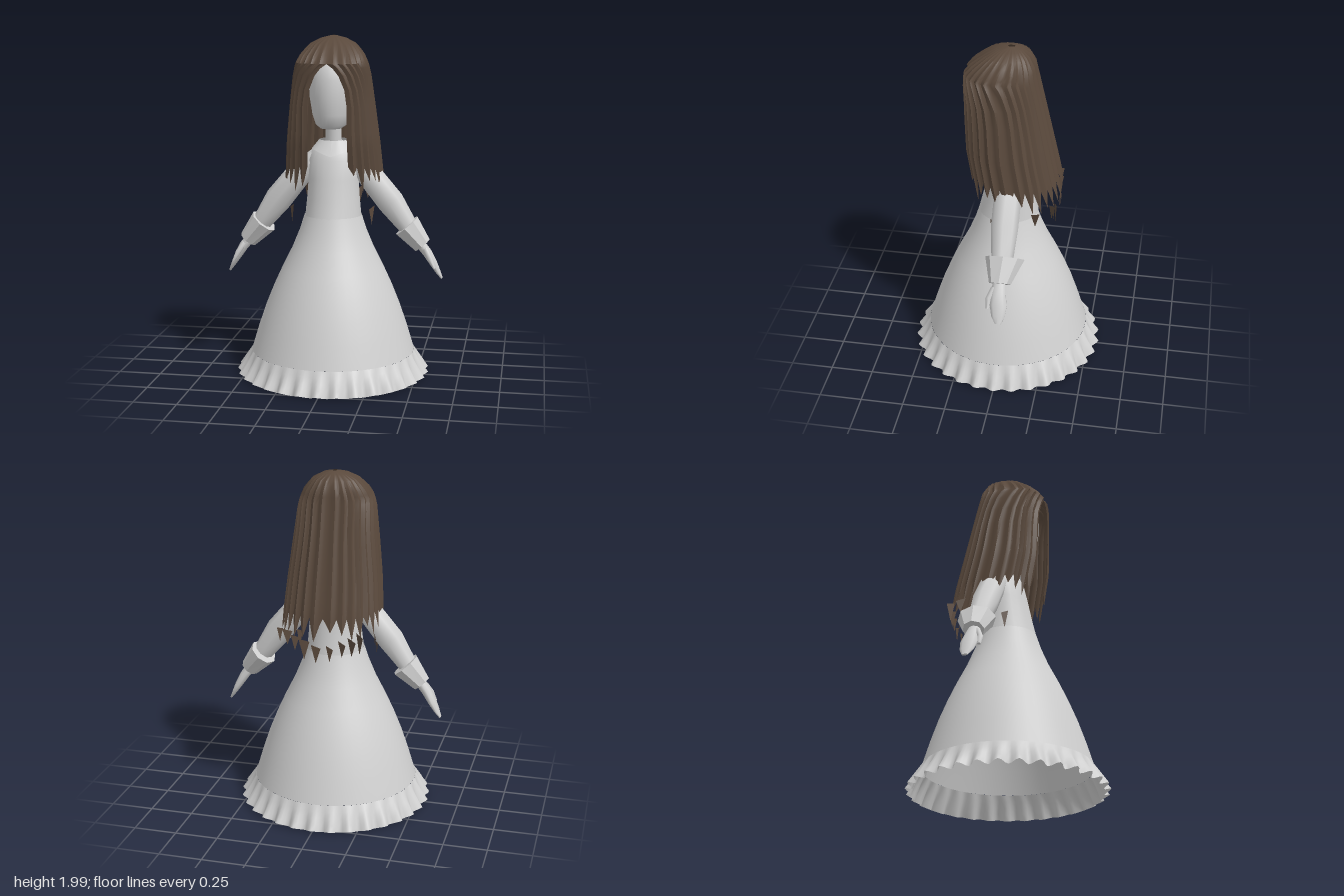
import * as THREE from 'three';
import { toCreasedNormals } from 'three/addons/utils/BufferGeometryUtils.js';

const cloth = new THREE.MeshStandardMaterial({ color: 0xd0d0d0, side: THREE.DoubleSide });
cloth.name = 'pale grey';
const brown = new THREE.MeshStandardMaterial({ color: 0x5a493c, side: THREE.DoubleSide });
brown.name = 'dark brown';

let seed = 7;
const rand = () => (seed = (seed * 16807) % 2147483647) / 2147483647;

// Linear lookup in rows whose first number falls from row to row
function sample(rows, y) {
  let i = 0;
  while (i < rows.length - 2 && y < rows[i + 1][0]) i++;
  const a = rows[i], b = rows[i + 1];
  const t = THREE.MathUtils.clamp((a[0] - y) / (a[0] - b[0]), 0, 1);
  return a.map((v, k) => v + (b[k] - v) * t);
}

function geometry(points, index, crease) {
  const g = new THREE.BufferGeometry();
  g.setAttribute('position', new THREE.Float32BufferAttribute(points, 3));
  g.setIndex(index);
  g.computeVertexNormals();
  return toCreasedNormals(g, crease);
}

// Closed body through rings [x, y, z, radius in the xy plane, radius along z]
function loft(rings, sides, crease = 1) {
  const pts = [], idx = [], n = rings.length;
  rings.forEach(([x, y, z, a, b], i) => {
    const p = rings[Math.max(i - 1, 0)], q = rings[Math.min(i + 1, n - 1)];
    const len = Math.hypot(q[0] - p[0], q[1] - p[1]);
    const nx = (q[1] - p[1]) / len, ny = -(q[0] - p[0]) / len;
    for (let j = 0; j < sides; j++) {
      const t = (j / sides) * Math.PI * 2, c = a * Math.cos(t);
      pts.push(x + nx * c, y + ny * c, z + b * Math.sin(t));
    }
  });
  const end = n * sides;
  pts.push(...rings[0].slice(0, 3), ...rings[n - 1].slice(0, 3));
  for (let j = 0; j < sides; j++) {
    const k = (j + 1) % sides, last = (n - 1) * sides;
    for (let i = 0; i < n - 1; i++) {
      const a = i * sides + j, b = i * sides + k;
      idx.push(a, a + sides, b, b, a + sides, b + sides);
    }
    idx.push(end, j, k, end + 1, last + k, last + j);
  }
  return geometry(pts, idx, crease);
}

// Ruffle: a flared band whose pleats deepen towards the hem
function ruffleGeometry() {
  const pleats = 32, cols = pleats * 6, rows = 4, pts = [], idx = [];
  for (let i = 0; i <= rows; i++) {
    for (let j = 0; j <= cols; j++) {
      const v = i / rows, t = (j / cols) * Math.PI * 2;
      const wave = Math.cos(t * pleats);
      const r = 0.482 + 0.068 * v + 0.02 * wave * v;
      pts.push(r * Math.sin(t), 0.147 - 0.135 * v + 0.009 * wave * v, r * Math.cos(t));
      if (i < rows && j < cols) {
        const a = i * (cols + 1) + j, b = a + cols + 1;
        idx.push(a, b, a + 1, b, b + 1, a + 1);
      }
    }
  }
  return geometry(pts, idx, 1.2);
}

// Hair outline: [y, half width, front z, back z]
const hairShape = [
  [1.995, 0.012, 0.0, -0.04], [1.98, 0.07, 0.06, -0.08], [1.95, 0.125, 0.115, -0.115],
  [1.9, 0.165, 0.18, -0.14], [1.85, 0.19, 0.228, -0.15], [1.8, 0.207, 0.235, -0.16],
  [1.6, 0.232, 0.235, -0.205], [1.4, 0.255, 0.225, -0.25], [1.2, 0.272, 0.19, -0.295], [1.0, 0.28, 0.15, -0.32],
];
// Half width of the opening around the face
const faceGap = [[1.845, 0], [1.82, 0.035], [1.78, 0.067], [1.7, 0.1], [1.6, 0.113], [1.45, 0.112], [1.1, 0.12]];

function hairPoint(u, y, lift = 0) {
  const [, w, zf, zb] = sample(hairShape, y);
  const gap = sample(faceGap, y)[1];
  const start = Math.asin(Math.min(1, Math.pow(gap / w, 1 / 0.8)));
  const t = start + u * (Math.PI * 2 - 2 * start);
  const bend = (v) => Math.sign(v) * Math.pow(Math.abs(v), 0.8);
  const half = (zf - zb) / 2;
  return [(w + lift) * bend(Math.sin(t)), y, (zf + zb) / 2 + (half + lift) * bend(Math.cos(t))];
}

// Hair: one open sheet, stepped into locks with pointed tips
function hairGeometry() {
  const locks = 26, per = 6, cols = locks * per, pts = [], idx = [];
  const upper = [1.995, 1.98, 1.95, 1.92, 1.89, 1.865, 1.845, 1.82, 1.78, 1.7, 1.6, 1.45];
  const lower = 5, rows = upper.length + lower;
  const tips = Array.from({ length: locks }, () => 0.05 + 0.1 * rand());
  for (let i = 0; i < rows; i++) {
    for (let j = 0; j <= cols; j++) {
      const u = j / cols, lock = Math.min(Math.floor(j / per), locks - 1);
      const f = j / per - lock, tooth = 1 - Math.abs(2 * f - 1);
      const back = Math.sin(u * Math.PI);
      const bottom = 1.265 - 0.06 * back - tips[lock] * tooth;
      const y = i < upper.length ? upper[i] : 1.45 + (bottom - 1.45) * (i - upper.length + 1) / lower;
      const lift = 0.012 * (Math.abs(f - 0.25) < 0.26 ? f * 2 : 1 - f) * Math.min(1, i / 4);
      pts.push(...hairPoint(u, y, lift));
      if (i < rows - 1 && j < cols) {
        const a = i * (cols + 1) + j, b = a + cols + 1;
        idx.push(a, b, a + 1, b, b + 1, a + 1);
      }
    }
  }
  return geometry(pts, idx, 0.7);
}

export function createModel() {
  const model = new THREE.Group();
  const add = (name, geo, mat = cloth, parent = model) => {
    const mesh = new THREE.Mesh(geo, mat);
    mesh.name = name;
    parent.add(mesh);
    return mesh;
  };

  // Dress
  const skirt = [[0.482, 0.147], [0.442, 0.28], [0.398, 0.41], [0.35, 0.53], [0.3, 0.64],
    [0.24, 0.76], [0.195, 0.87], [0.168, 0.955]].map(([r, y]) => new THREE.Vector2(r, y));
  add('skirt', new THREE.LatheGeometry(skirt, 48));
  add('ruffle', ruffleGeometry());
  add('bodice', loft([
    [0, 0.95, -0.005, 0.165, 0.175], [0, 1.05, -0.01, 0.155, 0.155], [0, 1.17, -0.015, 0.147, 0.135],
    [0, 1.28, -0.025, 0.15, 0.12], [0, 1.34, -0.03, 0.125, 0.1], [0, 1.38, -0.03, 0.07, 0.07],
  ], 24));

  // Collar dips to a point at the front
  const collar = new THREE.CylinderGeometry(0.085, 0.13, 0.055, 24, 1, true);
  const cp = collar.attributes.position;
  for (let i = 0; i < cp.count; i++) {
    const x = cp.getX(i), z = cp.getZ(i);
    if (cp.getY(i) < 0 && z > 0) cp.setY(i, cp.getY(i) - 0.35 * Math.max(0, 0.1 - Math.abs(x)));
  }
  collar.computeVertexNormals();
  add('collar', collar).position.set(0, 1.367, -0.025);

  // Neck and head
  add('neck', loft([[0, 1.36, -0.02, 0.048, 0.05], [0, 1.54, 0.0, 0.045, 0.05]], 16));
  add('head', loft([
    [0, 1.47, 0.075, 0.06, 0.065], [0, 1.49, 0.055, 0.09, 0.105], [0, 1.55, 0.04, 0.112, 0.14],
    [0, 1.65, 0.03, 0.13, 0.16], [0, 1.75, 0.025, 0.135, 0.165], [0, 1.84, 0.015, 0.12, 0.15],
    [0, 1.91, 0.0, 0.07, 0.085],
  ], 28, 1.2));

  // Arms
  for (const [side, s] of [['left', 1], ['right', -1]]) {
    const arm = new THREE.Group();
    arm.name = side + 'Arm';
    model.add(arm);
    const part = (name, rings, sides, crease) =>
      add(name, loft(rings.map(([x, ...r]) => [x * s, ...r]), sides, crease), cloth, arm);
    part('sleeve', [
      [0.09, 1.3, -0.035, 0.05, 0.06], [0.205, 1.19, -0.035, 0.075, 0.078],
      [0.335, 1.03, -0.035, 0.08, 0.078], [0.45, 0.87, -0.04, 0.055, 0.06],
    ], 8, 1.1);
    part('cuff', [[0.428, 0.89, -0.053, 0.083, 0.112], [0.523, 0.778, -0.04, 0.055, 0.062]], 8, 0.3);
    part('hand', [
      [0.5, 0.8, -0.035, 0.03, 0.035], [0.552, 0.735, -0.037, 0.028, 0.042],
      [0.588, 0.675, -0.042, 0.022, 0.05], [0.618, 0.62, -0.045, 0.013, 0.04], [0.639, 0.583, -0.048, 0.006, 0.018],
    ], 10, 1.2);
    part('thumb', [
      [0.54, 0.765, -0.01, 0.016, 0.016], [0.572, 0.71, 0.015, 0.016, 0.017], [0.6, 0.655, 0.018, 0.007, 0.01],
    ], 8, 1.2);
  }

  // Hair and the loose tips below it
  add('hair', hairGeometry(), brown);
  const strays = new THREE.Group();
  strays.name = 'looseHairTips';
  model.add(strays);
  const stray = (x, y, z, width, drop, turn) => {
    const tip = new THREE.Shape([[-width, 0], [0, -drop], [width, 0.02]].map(([a, b]) => new THREE.Vector2(a, b)));
    const mesh = add('hairTip', new THREE.ShapeGeometry(tip), brown, strays);
    mesh.position.set(x, y, z);
    mesh.rotation.y = turn;
  };
  for (const s of [1, -1]) {
    stray(s * 0.235, 1.0, 0.05, 0.022, 0.09, s * 0.9);
    stray(s * 0.28, 1.09, -0.2, 0.028, 0.07, s * 1.2);
    for (const [x, y] of [[0.04, 1.03], [0.11, 1.06], [0.165, 1.08], [0.21, 1.11]])
      stray(s * x, y, -0.305 + x * 0.1, 0.02 + 0.012 * rand(), 0.06 + 0.05 * rand(), s * x * 3);
  }
  return model;
}
